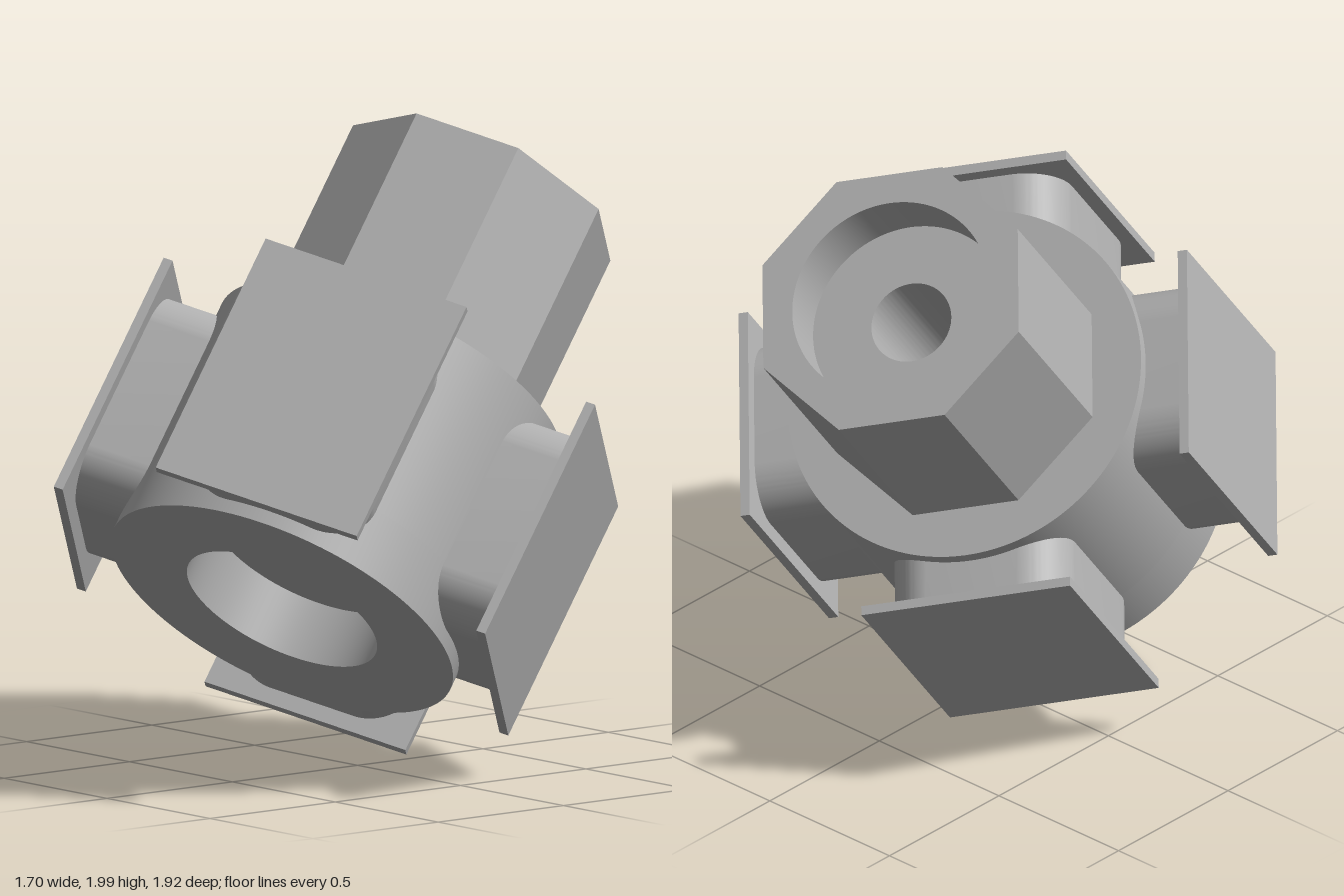
import * as THREE from 'three';
import { toCreasedNormals } from 'three/addons/utils/BufferGeometryUtils.js';

const HUB_R = 0.575, HUB_LEN = 0.835, TOTAL = 1.544;
const BORE_R = 0.32, BORE_DEPTH = 0.2, HOLE_R = 0.13;
const OCT_R = 0.45;

function circle(r) {
  const s = new THREE.Shape();
  s.absarc(0, 0, r, 0, Math.PI * 2, false);
  return s;
}

function octagon(r) {
  const pts = [];
  for (let i = 0; i < 8; i++) {
    const a = ((i + 0.5) * Math.PI) / 4;
    pts.push(new THREE.Vector2(Math.cos(a) * r, Math.sin(a) * r));
  }
  return new THREE.Shape(pts);
}

function roundedRect(w, h, r) {
  const s = new THREE.Shape(), x = w / 2 - r, y = h / 2 - r;
  s.absarc(x, y, r, 0, Math.PI / 2, false);
  s.absarc(-x, y, r, Math.PI / 2, Math.PI, false);
  s.absarc(-x, -y, r, Math.PI, Math.PI * 1.5, false);
  s.absarc(x, -y, r, Math.PI * 1.5, Math.PI * 2, false);
  s.closePath();
  return s;
}

function extrude(shape, depth, curveSegments) {
  const g = new THREE.ExtrudeGeometry(shape, { depth, bevelEnabled: false, curveSegments });
  return toCreasedNormals(g, Math.PI / 6);
}

export function createModel() {
  const grey = new THREE.MeshStandardMaterial({ color: 0xb0b0b0 });
  grey.name = 'grey';
  const model = new THREE.Group();
  model.name = 'flangedHub';

  // The part is built upright along y, then tilted
  const body = new THREE.Group();
  body.name = 'tiltedBody';
  model.add(body);

  function add(parent, name, geometry) {
    const mesh = new THREE.Mesh(geometry, grey);
    mesh.name = name;
    parent.add(mesh);
    return mesh;
  }

  // Slice of the body from y0 to y1 with a round hole through it
  function slice(name, shape, holeR, y0, y1) {
    shape.holes.push(circle(holeR));
    const g = extrude(shape, y1 - y0, 72);
    g.rotateX(-Math.PI / 2);
    add(body, name, g).position.y = y0;
  }

  // Round hub with counterbore, octagonal neck with counterbore
  slice('hubRim', circle(HUB_R), BORE_R, 0, BORE_DEPTH);
  slice('hub', circle(HUB_R), HOLE_R, BORE_DEPTH, HUB_LEN);
  slice('neck', octagon(OCT_R), HOLE_R, HUB_LEN, TOTAL - BORE_DEPTH);
  slice('neckRim', octagon(OCT_R), BORE_R, TOTAL - BORE_DEPTH, TOTAL);

  // Four rounded bosses, each capped by a rectangular plate
  const bossGeo = extrude(roundedRect(0.58, 0.745, 0.15), 0.26, 16);
  const plateGeo = new THREE.BoxGeometry(0.68, 0.85, 0.03);
  for (let i = 0; i < 4; i++) {
    const pad = new THREE.Group();
    pad.name = 'pad' + (i + 1);
    pad.position.y = HUB_LEN / 2;
    pad.rotation.y = (i * Math.PI) / 2;
    add(pad, 'boss', bossGeo).position.z = 0.445;
    add(pad, 'plate', plateGeo).position.z = 0.715;
    body.add(pad);
  }

  // Tilt: y follows the bore axis, x points through one plate
  const axis = new THREE.Vector3(-0.146, 0.758, -0.636).normalize();
  const side = new THREE.Vector3(0.548, 0.59, 0.59);
  side.addScaledVector(axis, -side.dot(axis)).normalize();
  const third = new THREE.Vector3().crossVectors(side, axis);
  body.quaternion.setFromRotationMatrix(new THREE.Matrix4().makeBasis(side, axis, third));
  body.position.set(0.055, 0.54, 0.347);
  return model;
}
